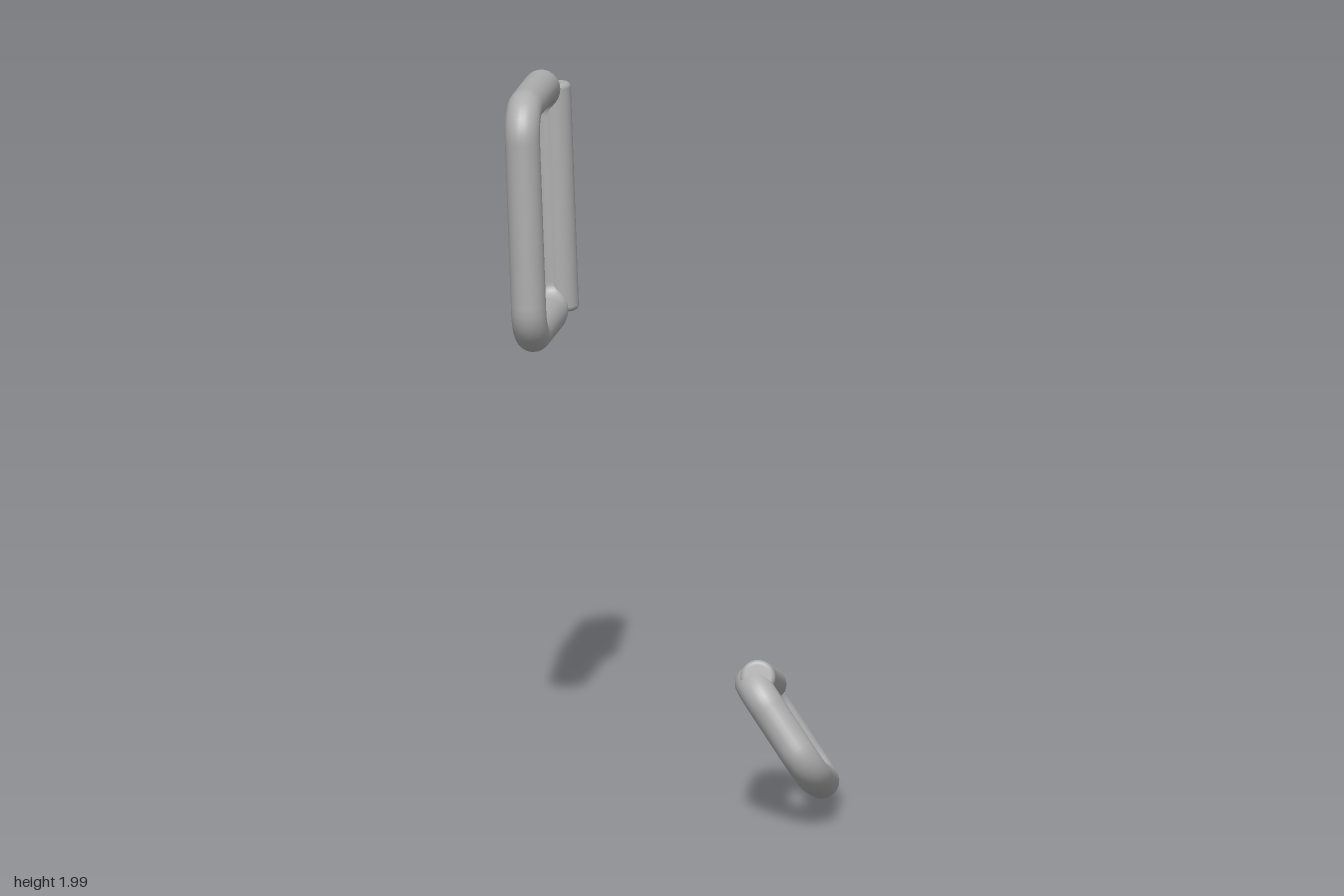
import * as THREE from 'three';

const TUBE = 0.053;      // wire radius
const CORNER = 0.09;     // centre-line corner radius
const PIN_OFFSET = 0.025;

// Closed rounded rectangle, measured on the wire's centre line
function roundedLoop(width, height) {
  const x = width / 2 - CORNER, y = height / 2 - CORNER, q = Math.PI / 2;
  const path = new THREE.Path();
  path.absarc(x, y, CORNER, 0, q);
  path.absarc(-x, y, CORNER, q, 2 * q);
  path.absarc(-x, -y, CORNER, 2 * q, 3 * q);
  path.absarc(x, -y, CORNER, 3 * q, 4 * q);
  path.closePath();
  const points = path.getSpacedPoints(120).slice(0, -1);
  return new THREE.CatmullRomCurve3(points.map((p) => new THREE.Vector3(p.x, p.y, 0)), true);
}

// Straight bar with slightly rounded ends
function pinGeometry(length) {
  const h = length / 2, b = 0.015;
  const profile = [new THREE.Vector2(0, -h)];
  for (const side of [-1, 1]) {
    for (let i = 0; i <= 4; i++) {
      const a = side * (side < 0 ? 4 - i : i) / 4 * Math.PI / 2;
      profile.push(new THREE.Vector2(TUBE - b + b * Math.cos(a), side * (h - b) + b * Math.sin(a)));
    }
  }
  profile.push(new THREE.Vector2(0, h));
  return new THREE.LatheGeometry(profile, 32);
}

// Local +x points toward the pin side, +y runs along the pin
function makeLoop(name, width, height, outward, along, centre, material) {
  const group = new THREE.Group();
  group.name = name;

  const ring = new THREE.Mesh(
    new THREE.TubeGeometry(roundedLoop(width, height), 200, TUBE, 24, true), material);
  ring.name = 'wireRing';

  const pin = new THREE.Mesh(pinGeometry(height), material);
  pin.name = 'pinBar';
  pin.position.set(width / 2, 0, PIN_OFFSET);
  group.add(ring, pin);

  // Orthonormal orientation from the two directions
  const x = new THREE.Vector3(...outward).normalize();
  const z = new THREE.Vector3().crossVectors(x, new THREE.Vector3(...along)).normalize();
  const y = new THREE.Vector3().crossVectors(z, x);
  group.quaternion.setFromRotationMatrix(new THREE.Matrix4().makeBasis(x, y, z));
  group.position.set(...centre);
  return group;
}

export function createModel() {
  const metal = new THREE.MeshStandardMaterial({ color: 0xadadad });
  metal.name = 'greyMetal';

  const model = new THREE.Group();
  model.name = 'strapLoops';
  model.add(
    makeLoop('upperLoop', 0.485, 0.694, [0.297, 0, -0.955], [-0.035, 1, -0.01],
      [-0.305, 1.6, -0.704], metal),
    makeLoop('lowerLoop', 0.334, 0.576, [-0.51, 0.81, -0.3], [-0.21, 0.22, 0.955],
      [0.245, 0.24, 0.617], metal));
  return model;
}
